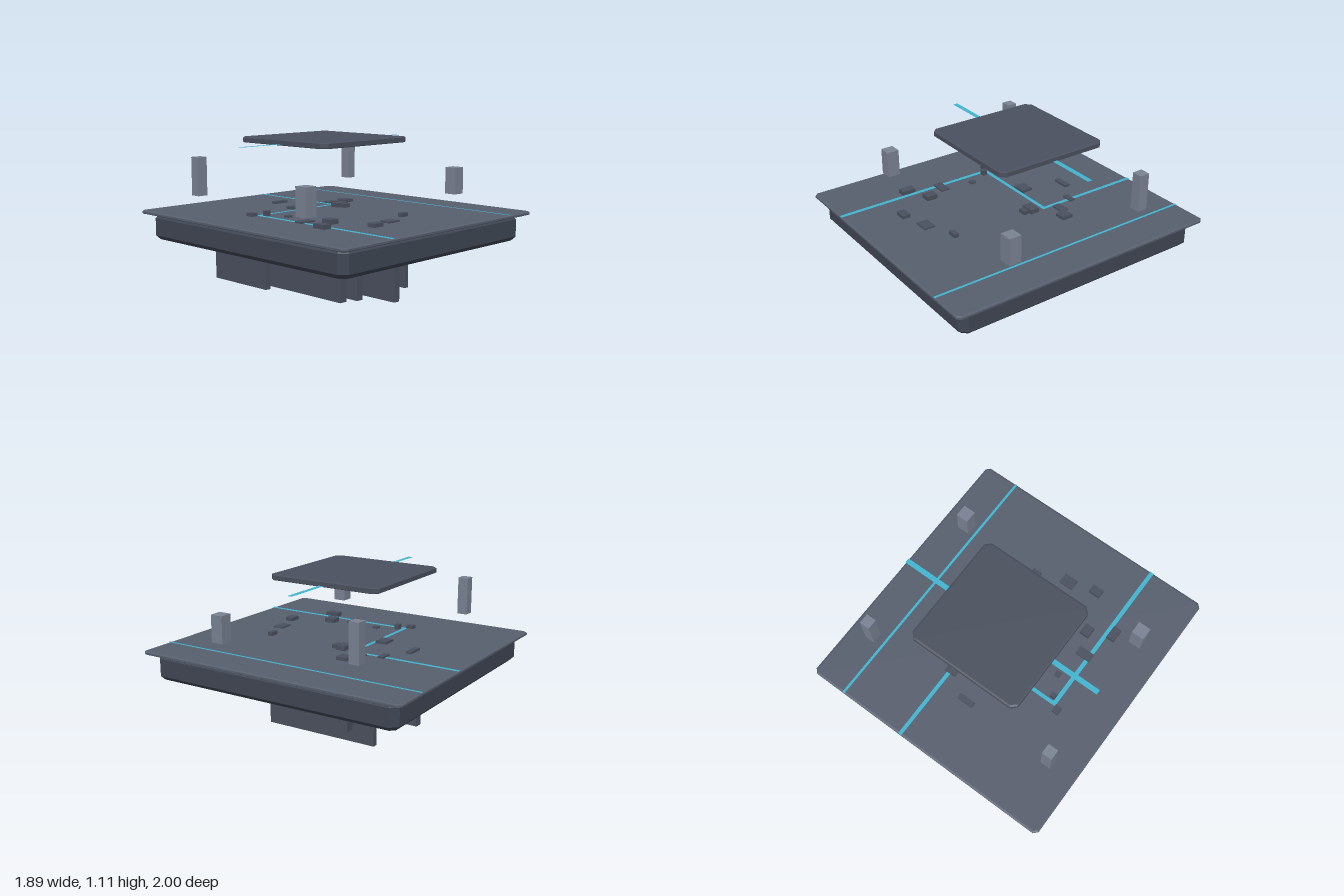
import * as THREE from 'three';

const paint = (color, extra = {}) => new THREE.MeshStandardMaterial({ color, flatShading: true, ...extra });

export function createModel() {
  const model = new THREE.Group();
  const slate = paint(0x4a505e);
  const hullPaint = paint(0x3f4653);
  const deckPaint = paint(0x575e6d);
  const postPaint = paint(0x7a8292);
  const glow = paint(0x40b4d0, { side: THREE.DoubleSide });

  const add = (name, geometry, material, x, y, z) => {
    const mesh = new THREE.Mesh(geometry, material);
    mesh.name = name;
    mesh.position.set(x, y, z);
    model.add(mesh);
  };

  // Box given by its limits on each axis
  const block = (name, material, x0, x1, y0, y1, z0, z1) =>
    add(name, new THREE.BoxGeometry(x1 - x0, y1 - y0, z1 - z0), material,
      (x0 + x1) / 2, (y0 + y1) / 2, (z0 + z1) / 2);

  // Flat slab with cut corners and bevelled rims
  const slab = (name, material, hx, hz, y0, y1, cut, bevel, rise, z = 0) => {
    const a = hx - bevel, b = hz - bevel, c = cut;
    const outline = new THREE.Shape([
      [a, -b + c], [a, b - c], [a - c, b], [-a + c, b],
      [-a, b - c], [-a, -b + c], [-a + c, -b], [a - c, -b],
    ].map(([x, y]) => new THREE.Vector2(x, y)));
    const geometry = new THREE.ExtrudeGeometry(outline, {
      depth: y1 - y0 - 2 * rise, bevelEnabled: true,
      bevelSize: bevel, bevelThickness: rise, bevelSegments: 1,
    });
    geometry.rotateX(-Math.PI / 2);
    add(name, geometry, material, 0, y0 + rise, z);
  };

  slab('hull', hullPaint, 0.89, 0.94, 0.39, 0.572, 0.03, 0.03, 0.03);
  slab('deck', deckPaint, 0.945, 1, 0.57, 0.595, 0.02, 0.012, 0.006);
  slab('floatingPlate', slate, 0.42, 0.42, 1.07, 1.11, 0.03, 0.012, 0.005, -0.105);

  // Hanging fins: x0, x1, bottom, z0, z1
  [
    [-0.635, -0.595, 0.13, -0.545, -0.02],
    [-0.4, -0.34, 0.08, -0.33, 0.44],
    [-0.155, -0.1, 0.035, -0.55, 0.36],
    [0.09, 0.14, 0, -0.06, 0.48],
    [0.345, 0.38, 0.037, -0.49, 0.355],
    [0.58, 0.64, 0.215, -0.45, 0.02],
  ].forEach(([x0, x1, y, z0, z1]) => block('fin', slate, x0, x1, y, 0.4, z0, z1));

  // Hovering posts, mirrored left and right
  for (const s of [-1, 1]) {
    const x = 0.737 * s;
    block('frontPost', postPaint, x - 0.045, x + 0.045, 0.69, 0.88, 0.43, 0.52);
    block('backPost', postPaint, x - 0.037, x + 0.037, 0.72, 0.985, -0.617, -0.543);
  }

  // Glowing strips: x0, x1, z0, z1, height
  [
    [0.175, 0.202, -1, -0.195, 0.597],
    [0.672, 0.69, -1, 1, 0.597],
    [-0.54, -0.51, -0.22, 1, 0.597],
    [-0.51, 0.175, -0.222, -0.195, 0.597],
    [-0.77, 0.77, -0.128, -0.092, 1.08],
  ].forEach(([x0, x1, z0, z1, y]) => {
    const strip = new THREE.PlaneGeometry(x1 - x0, z1 - z0).rotateX(-Math.PI / 2);
    add('glowStrip', strip, glow, (x0 + x1) / 2, y, (z0 + z1) / 2);
  });

  // Small deck blocks: centre x, centre z, width, depth, top
  [
    [-0.565, -0.235, 0.05, 0.055, 0.617],
    [-0.49, -0.168, 0.04, 0.035, 0.632],
    [-0.425, -0.022, 0.04, 0.04, 0.608],
    [-0.49, 0.207, 0.115, 0.065, 0.607],
    [-0.405, 0.355, 0.07, 0.08, 0.627],
    [-0.57, 0.445, 0.06, 0.1, 0.625],
    [-0.287, 0.64, 0.085, 0.06, 0.62],
    [-0.085, 0.587, 0.105, 0.08, 0.606],
    [0.14, 0.505, 0.065, 0.035, 0.622],
    [-0.03, -0.547, 0.12, 0.04, 0.612],
    [-0.13, -0.265, 0.1, 0.085, 0.612],
    [0.18, -0.44, 0.085, 0.04, 0.607],
    [0.16, -0.117, 0.1, 0.068, 0.625],
    [0.16, -0.055, 0.06, 0.035, 0.622],
    [0.257, -0.3, 0.1, 0.06, 0.605],
    [0.362, -0.25, 0.08, 0.08, 0.617],
  ].forEach(([x, z, w, d, top]) =>
    block('deckBlock', slate, x - w / 2, x + w / 2, 0.59, top, z - d / 2, z + d / 2));

  return model;
}
